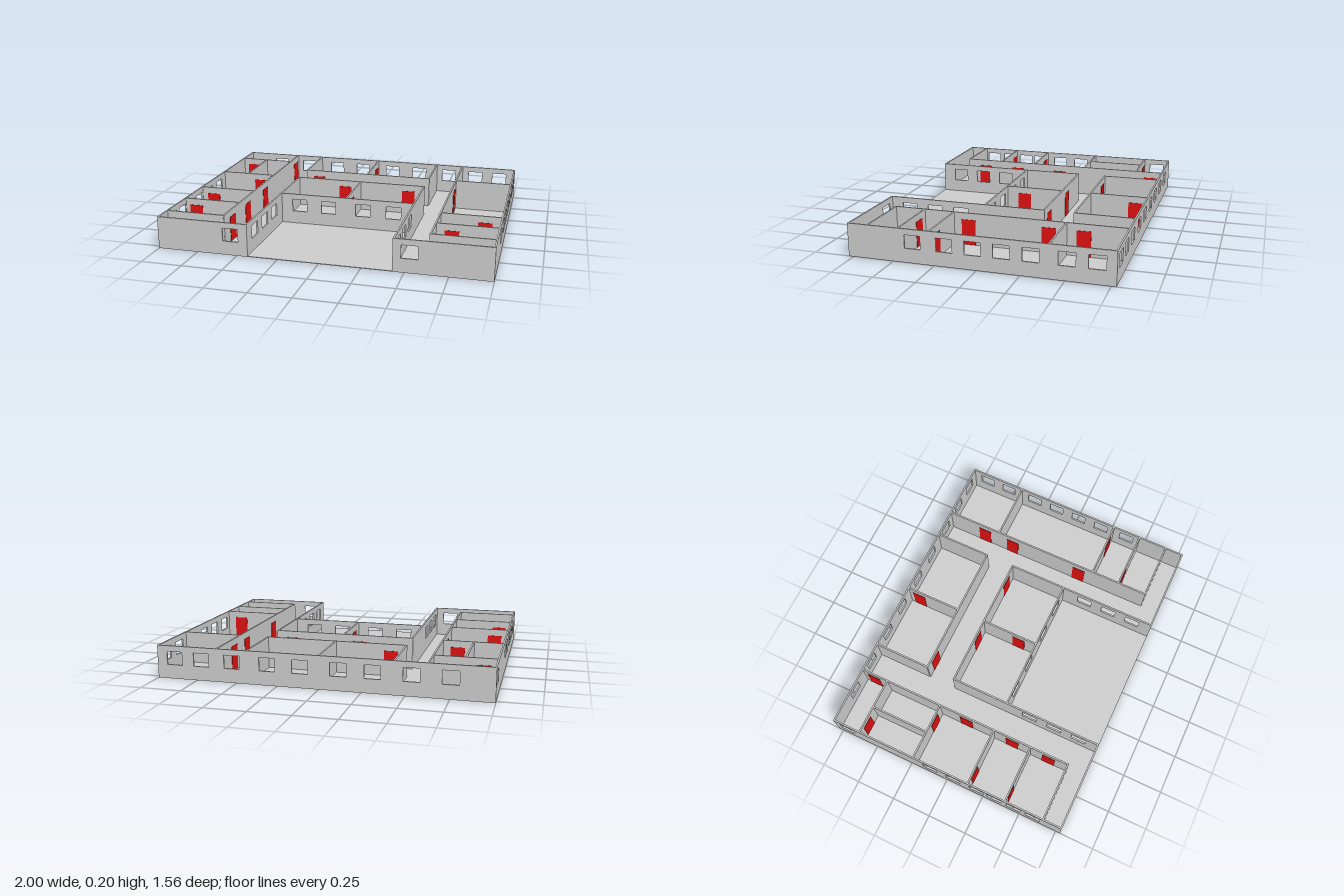
import * as THREE from 'three';

const HEIGHT = 0.2, THICK = 0.01;
const WINDOW = { width: 0.096, bottom: 0.085, top: 0.165 };
const DOOR = { width: 0.086, height: 0.157, depth: 0.015 };

// Each wall: [name, axis it runs along, fixed coordinate, start, end, window centres, door centres]
const WALLS = [
  // outer shell
  ['backWall', 'x', -0.775, -1, 1, [-0.755, -0.537, -0.315, -0.115, 0.11, 0.31, 0.528, 0.72, 0.89], []],
  ['frontWallRight', 'x', 0.775, -1, -0.435, [-0.537], []],
  ['frontWallLeft', 'x', 0.775, 0.435, 1, [0.528], []],
  ['leftOuterWall', 'z', 0.995, -0.78, 0.78, [-0.675, -0.51, -0.31, -0.143, 0.023, 0.19, 0.38], []],
  ['rightOuterWall', 'z', -0.995, -0.78, 0.78, [-0.69, -0.11, 0.05, 0.21, 0.33, 0.46, 0.59], []],

  // corridor walls of the two wings
  ['rightCorridorWall', 'z', -0.627, -0.78, 0.66, [], [-0.7, -0.04, 0.28, 0.53]],
  ['leftCorridorWall', 'z', 0.624, -0.78, 0.66, [], [-0.515, -0.307, 0.185]],

  // right wing partitions
  ['rightPartition', 'x', -0.597, -1, -0.627, [], [-0.915]],
  ['rightPartition', 'x', -0.222, -1, -0.627, [], [-0.72]],
  ['rightPartition', 'x', 0.152, -1, -0.627, [], [-0.91]],
  ['rightPartition', 'x', 0.403, -1, -0.627, [], [-0.92]],
  ['rightPartition', 'x', 0.656, -1, -0.627, [], []],
  ['closetPartition', 'z', -0.815, -0.597, -0.222, [], []],

  // left wing partitions
  ['leftPartition', 'x', -0.41, 0.624, 1, [], []],
  ['leftPartition', 'x', 0.28, 0.624, 1, [], [0.895]],
  ['leftPartition', 'x', 0.467, 0.624, 1, [], [0.72]],
  ['leftPartition', 'x', 0.656, 0.624, 1, [], []],

  // middle rooms
  ['backRoomWall', 'x', -0.41, -0.44, 0.44, [], [-0.345]],
  ['middleRoomWall', 'x', -0.222, -0.44, 0.44, [], [-0.104, 0.332]],
  ['courtBackWall', 'x', 0.152, -0.44, 0.44, [-0.312, -0.118, 0.11, 0.308], []],
  ['backRoomDivider', 'z', 0, -0.78, -0.41, [], [-0.7]],
  ['middleRoomDivider', 'z', 0, -0.222, 0.152, [], [0.03]],
];
// side walls of the middle rooms and the open court
for (const x of [-0.437, 0.437]) {
  WALLS.push(['backRoomSide', 'z', x, -0.78, -0.41, [], []]);
  WALLS.push(['courtSideWall', 'z', x, -0.222, 0.78, [0.31, 0.48, 0.65], []]);
}

const rectangle = (PathType, x0, x1, y0, y1) => new PathType([
  new THREE.Vector2(x0, y0), new THREE.Vector2(x1, y0),
  new THREE.Vector2(x1, y1), new THREE.Vector2(x0, y1),
]);

export function createModel() {
  const model = new THREE.Group();
  const grey = new THREE.MeshStandardMaterial({ color: 0xcccccc });
  const red = new THREE.MeshStandardMaterial({ color: 0xe01010 });

  const add = (parent, name, geometry, material) => {
    const mesh = new THREE.Mesh(geometry, material);
    mesh.name = name;
    parent.add(mesh);
    return mesh;
  };

  // floor slab
  const floor = add(model, 'floor', new THREE.BoxGeometry(2, 0.004, 1.56), grey);
  floor.position.y = 0.002;

  for (const [name, axis, fixed, start, end, windows, doors] of WALLS) {
    const group = new THREE.Group();
    group.name = name;

    // wall panel with window openings
    const shape = rectangle(THREE.Shape, start, end, 0.001, HEIGHT);
    for (const c of windows) {
      const half = WINDOW.width / 2;
      shape.holes.push(rectangle(THREE.Path, c - half, c + half, WINDOW.bottom, WINDOW.top));
    }
    const panel = new THREE.ExtrudeGeometry(shape, { depth: THICK, bevelEnabled: false });
    panel.translate(0, 0, -THICK / 2);
    add(group, 'wallPanel', panel, grey);

    // door leaves, standing slightly proud of both wall faces
    for (const c of doors) {
      const leaf = new THREE.BoxGeometry(DOOR.width, DOOR.height, DOOR.depth);
      add(group, 'door', leaf, red).position.set(c, DOOR.height / 2 + 0.002, 0);
    }

    if (axis === 'x') {
      group.position.z = fixed;
    } else {
      group.rotation.y = -Math.PI / 2;
      group.position.x = fixed;
    }
    model.add(group);
  }
  return model;
}
